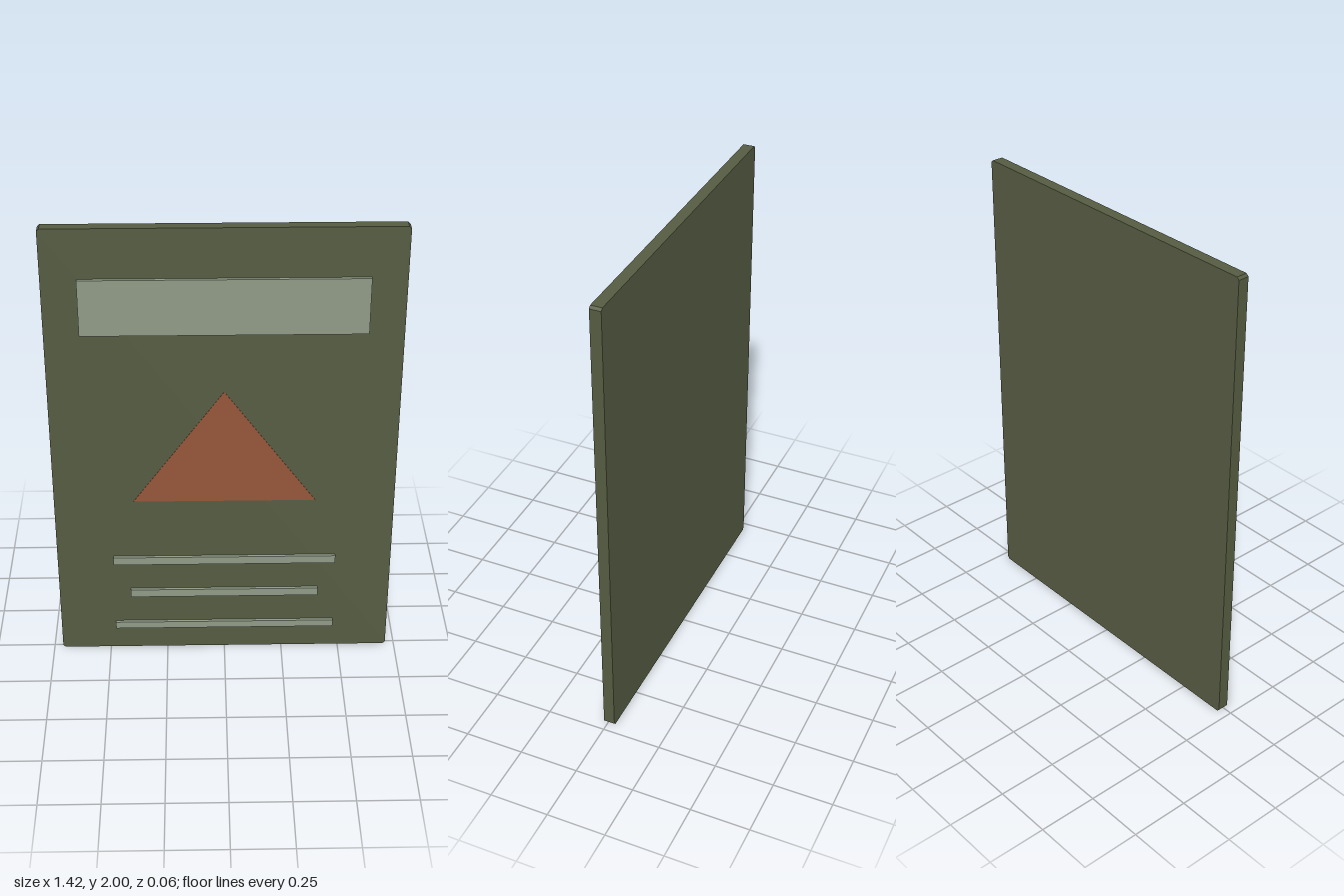
import * as THREE from 'three';

const FRONT = 0.016; // front face of the board
const BACK = -0.031;

function material(color) {
  return new THREE.MeshStandardMaterial({ color, flatShading: true });
}

export function createModel() {
  const group = new THREE.Group();
  const boardMat = material(0x565c42);
  const barMat = material(0x909a86);
  const signMat = material(0x96553a);

  const add = (name, geometry, mat) => {
    const mesh = new THREE.Mesh(geometry, mat);
    mesh.name = name;
    group.add(mesh);
    return mesh;
  };

  // Board: thin upright slab with tiny clipped corners
  const w = 0.712, h = 2, c = 0.01;
  const outline = new THREE.Shape([
    [-w + c, 0], [w - c, 0], [w, c], [w, h - c],
    [w - c, h], [-w + c, h], [-w, h - c], [-w, c],
  ].map(([x, y]) => new THREE.Vector2(x, y)));
  const board = add('board', new THREE.ExtrudeGeometry(outline, {
    depth: FRONT - BACK, bevelEnabled: false,
  }), boardMat);
  board.position.z = BACK;

  // Raised title panel and text strips: half width, bottom, top
  const bars = [
    ['titlePanel', 0.57, 1.55, 1.79],
    ['upperStrip', 0.474, 0.45, 0.487],
    ['middleStrip', 0.404, 0.28, 0.317],
    ['lowerStrip', 0.474, 0.11, 0.143],
  ];
  const tip = 0.03, root = FRONT - 0.004;
  for (const [name, half, y0, y1] of bars) {
    const bar = add(name, new THREE.BoxGeometry(half * 2, y1 - y0, tip - root), barMat);
    bar.position.set(0, (y0 + y1) / 2, (tip + root) / 2);
  }

  // Flat triangular emblem, almost flush with the board
  const triangle = new THREE.Shape([
    new THREE.Vector2(-0.38, 0.766),
    new THREE.Vector2(0.38, 0.766),
    new THREE.Vector2(0, 1.288),
  ]);
  const emblem = add('triangleEmblem', new THREE.ExtrudeGeometry(triangle, {
    depth: 0.004, bevelEnabled: false,
  }), signMat);
  emblem.position.z = FRONT - 0.002;

  return group;
}
